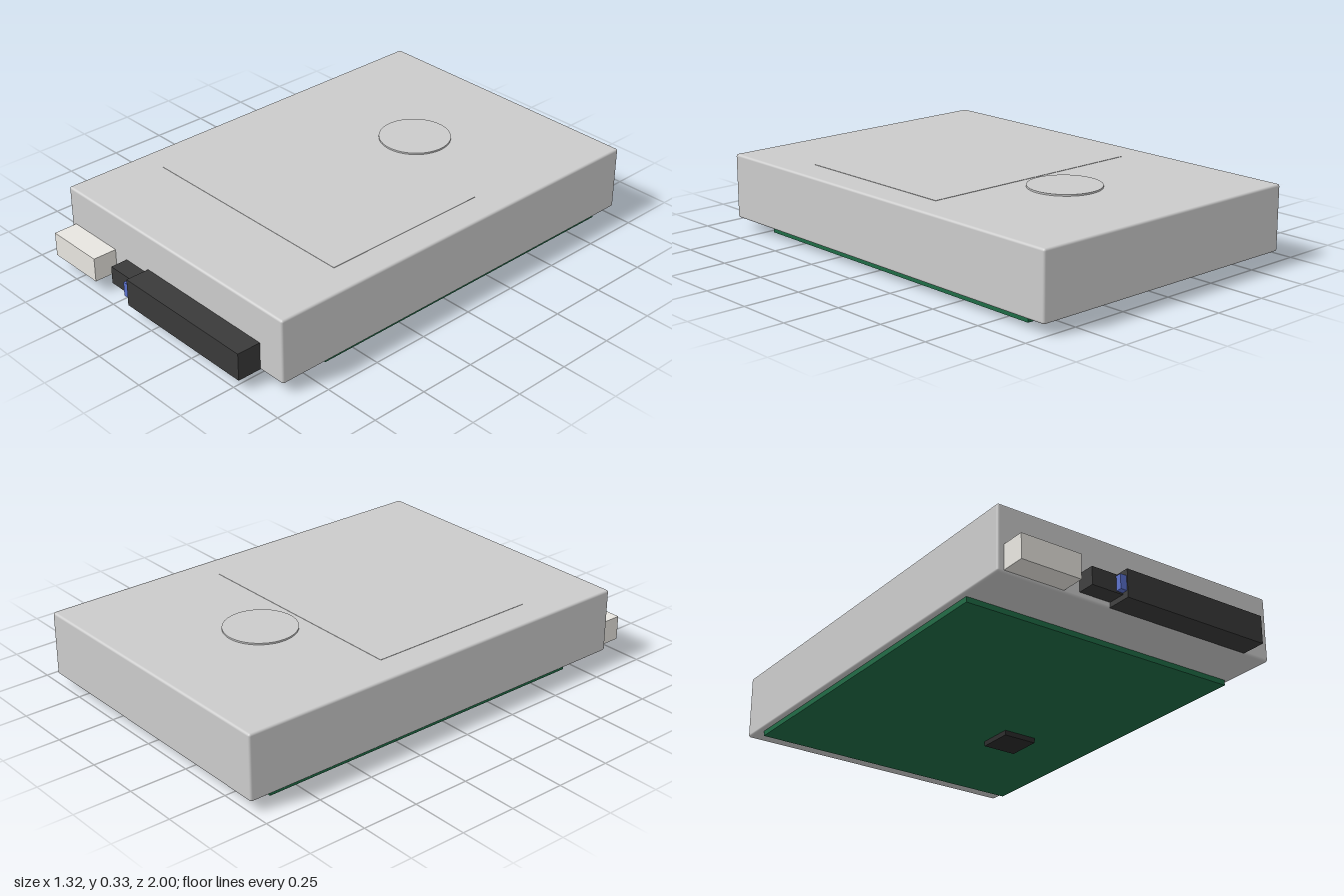
import * as THREE from 'three';
import { RoundedBoxGeometry } from 'three/addons/geometries/RoundedBoxGeometry.js';

const material = (color) => new THREE.MeshStandardMaterial({ color });

// Mesh placed by its [min, max] range on each axis; a radius rounds the edges
function block(name, [x0, x1], [y0, y1], [z0, z1], mat, radius = 0) {
  const size = [x1 - x0, y1 - y0, z1 - z0];
  const geometry = radius
    ? new RoundedBoxGeometry(...size, 3, radius)
    : new THREE.BoxGeometry(...size);
  const mesh = new THREE.Mesh(geometry, mat);
  mesh.name = name;
  mesh.position.set((x0 + x1) / 2, (y0 + y1) / 2, (z0 + z1) / 2);
  return mesh;
}

export function createModel() {
  const model = new THREE.Group();
  model.name = 'hardDrive';

  const grey = material(0xcccccc);
  const black = material(0x3a3a3a);
  const green = material(0x1f6b45);
  const blue = material(0x5a70cc);
  const ivory = material(0xe8e6e0);
  const chipBlack = material(0x2a2a2a);

  // Casing with softly rounded edges
  model.add(block('casing', [-0.66, 0.66], [0.045, 0.327], [-1, 0.894], grey, 0.01));

  // Thin label plate and raised spindle cap on the lid
  model.add(block('labelPlate', [-0.525, 0.525], [0.322, 0.3285], [-0.26, 0.515], grey));
  const cap = new THREE.Mesh(new THREE.CylinderGeometry(0.155, 0.155, 0.013, 48), grey);
  cap.name = 'spindleCap';
  cap.position.set(0, 0.3275, -0.44);
  model.add(cap);

  // Circuit board and controller chip underneath
  model.add(block('circuitBoard', [-0.637, 0.637], [0.022, 0.045], [-0.895, 0.663], green));
  model.add(block('controllerChip', [0.181, 0.337], [0, 0.024], [-0.39, -0.234], chipBlack));

  // Connectors along the front edge
  const connectors = new THREE.Group();
  connectors.name = 'connectors';
  connectors.add(
    block('powerConnector', [-0.632, -0.361], [0.055, 0.161], [0.87, 1], ivory),
    block('jumperBlock', [-0.288, -0.14], [0.07, 0.147], [0.87, 0.97], black),
    block('jumperCap', [-0.174, -0.14], [0.077, 0.14], [0.9, 0.995], blue),
    block('dataConnector', [-0.145, 0.532], [0.048, 0.168], [0.87, 1], black),
  );
  model.add(connectors);

  return model;
}
